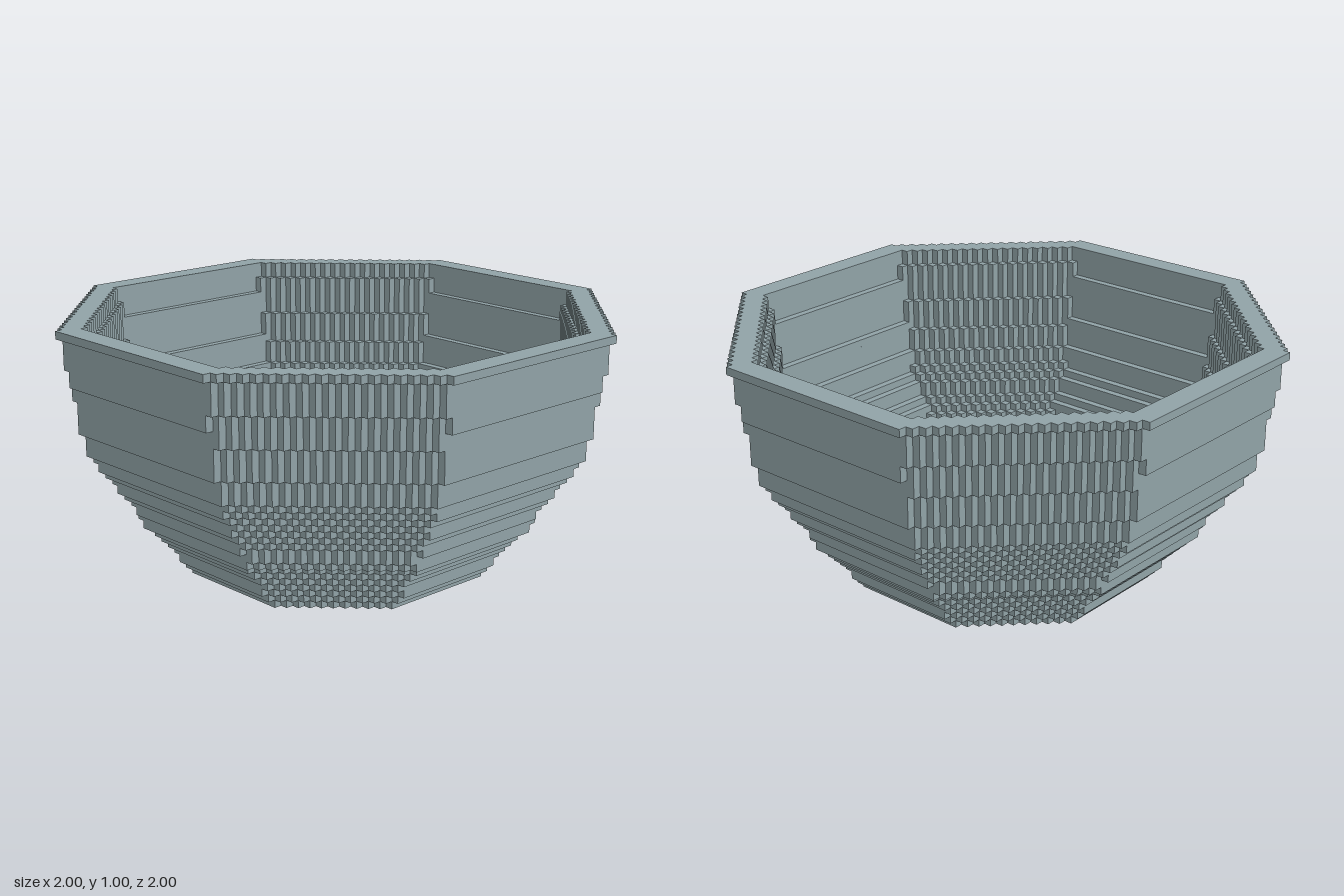
import * as THREE from 'three';

const CELL = 1 / 33;      // size of one voxel
const LAYERS = 33;
const WALL = 2.5;         // wall thickness in voxels

// Outer radius of the bowl in voxels: [layer, radius]
const PROFILE = [
  [0, 18], [1, 18.7], [3, 20.4], [4, 20.6], [7, 23.5], [12, 26.6], [14, 27.9], [15, 28.6],
  [17, 29.72], [20, 30.5], [24, 31.2], [28, 31.85], [31, 32.3], [32, 32.8],
];

function radiusAt(layer) {
  const k = Math.max(1, PROFILE.findIndex(([j]) => j >= layer));
  const [j0, r0] = PROFILE[k - 1];
  const [j1, r1] = PROFILE[k];
  return r0 + (r1 - r0) * (layer - j0) / (j1 - j0);
}

// Voxel octagon: cells across the flats and along the diagonals
function octagon(r) {
  return { flat: Math.floor(r + 0.5), diag: Math.floor(r * Math.SQRT2) };
}

// Outline with straight flats and one-voxel stairs on the diagonals
function outline({ flat, diag }) {
  const quarter = [];
  const height = (i) => Math.min(flat, diag - i);
  quarter.push([flat, height(flat - 1)]);
  for (let i = flat - 1; height(i) < flat; i--) {
    quarter.push([i, height(i)], [i, height(i - 1)]);
  }
  const points = [];
  for (let q = 0; q < 4; q++) {
    const c = [1, 0, -1, 0][q], s = [0, 1, 0, -1][q];
    for (const [x, y] of quarter) {
      points.push(new THREE.Vector2((x * c - y * s) * CELL, (x * s + y * c) * CELL));
    }
  }
  return points;
}

function ring(outer, inner, from, to, material, name) {
  const shape = new THREE.Shape(outline(outer));
  if (inner) shape.holes.push(new THREE.Path(outline(inner)));
  const geometry = new THREE.ExtrudeGeometry(shape, { depth: (to - from) * CELL, bevelEnabled: false });
  geometry.rotateX(-Math.PI / 2);
  const mesh = new THREE.Mesh(geometry, material);
  mesh.position.y = from * CELL;
  mesh.name = name;
  return mesh;
}

export function createModel() {
  const bowl = new THREE.Group();
  bowl.name = 'bowl';
  const stone = new THREE.MeshStandardMaterial({ color: 0x90a2a6 });
  stone.name = 'blue grey';

  // Solid floor
  bowl.add(ring(octagon(radiusAt(0)), null, 0, 1, stone, 'floor'));

  // Stepped wall, joining neighbouring layers of the same outline
  const wall = new THREE.Group();
  wall.name = 'wall';
  const section = (j) => [octagon(radiusAt(j)), octagon(radiusAt(j) - WALL)];
  const key = (j) => JSON.stringify(section(j));
  const last = LAYERS - 1;
  for (let j = 1; j < last;) {
    let end = j + 1;
    while (end < last && key(end) === key(j)) end++;
    wall.add(ring(...section(j), j, end, stone, 'wallStep'));
    j = end;
  }
  bowl.add(wall);

  // Overhanging rim
  bowl.add(ring(...section(last), last, LAYERS, stone, 'rim'));
  return bowl;
}
